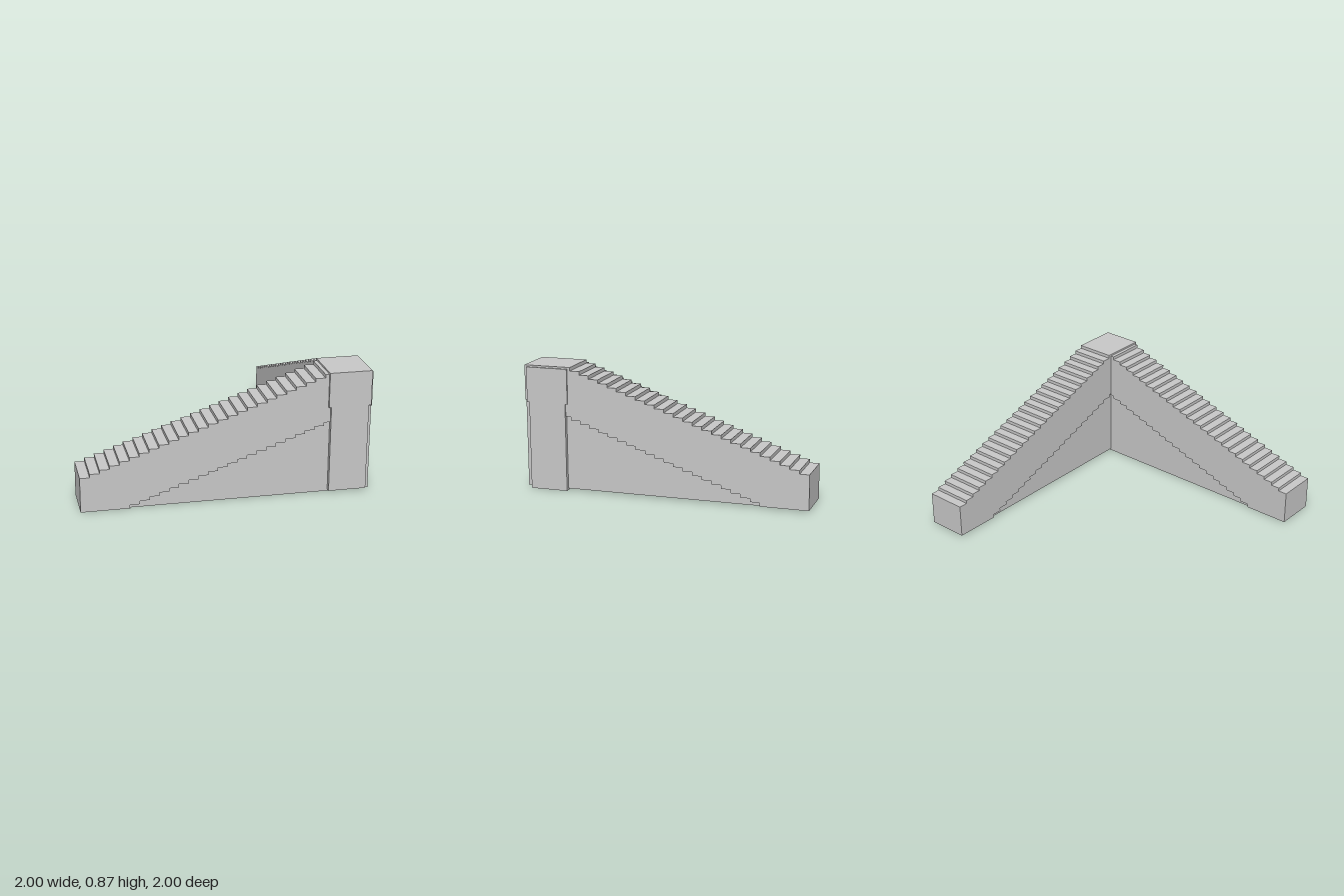
import * as THREE from 'three';

const STEPS = 25;          // steps from the low end to the flat corner
const RUN = 2 / 30;
const RISE = 0.0244;
const FIRST = 0.245;       // height of the lowest step
const BAND = 0.342;        // height of the thick stepped band

const topAt = (i) => FIRST + i * RISE;
const underAt = (i) => Math.max(0, topAt(i) - BAND);

// Extrude a side profile, centred on its thickness
function slab(points, thickness, material, name) {
  const shape = new THREE.Shape(points.map(([x, y]) => new THREE.Vector2(x, y)));
  const geometry = new THREE.ExtrudeGeometry(shape, { depth: thickness, bevelEnabled: false });
  geometry.translate(0, 0, -thickness / 2);
  const mesh = new THREE.Mesh(geometry, material);
  mesh.name = name;
  return mesh;
}

// One wing: thick stepped band above a slightly recessed wall, rising along +x
function makeWing(name, material) {
  const wing = new THREE.Group();
  wing.name = name;

  // Stepped underside of the band, from the point where it leaves the floor
  const under = [];
  for (let i = 5; i < 30; i++) {
    under.push([-1 + i * RUN, underAt(i)], [-1 + (i + 1) * RUN, underAt(i)]);
  }

  // Stepped top, running back from the corner to the low end
  const top = [[1, topAt(STEPS)]];
  for (let i = STEPS; i > 0; i--) {
    top.push([-1 + i * RUN, topAt(i)], [-1 + i * RUN, topAt(i - 1)]);
  }
  top.push([-1, FIRST]);

  const start = -1 + 5 * RUN;
  const band = [[-1, 0], [start, 0], ...under, ...top];
  const wall = [[start, 0], [1, 0], ...under.slice().reverse()];

  wing.add(slab(band, 0.296, material, 'steppedBand'));
  wing.add(slab(wall, 0.264, material, 'recessedWall'));
  return wing;
}

export function createModel() {
  const stone = new THREE.MeshStandardMaterial({ color: 0xc8c8c8 });
  stone.name = 'grey stone';

  const model = new THREE.Group();
  model.name = 'cornerStairWall';

  // Wing along the front
  const front = makeWing('frontWing', stone);
  front.position.set(0, 0, 0.835);

  // Wing along the left side, raised a little
  const side = makeWing('sideWing', stone);
  side.rotation.y = -Math.PI / 2;
  side.position.set(0.841, 0.012, 0);

  model.add(front, side);
  return model;
}
